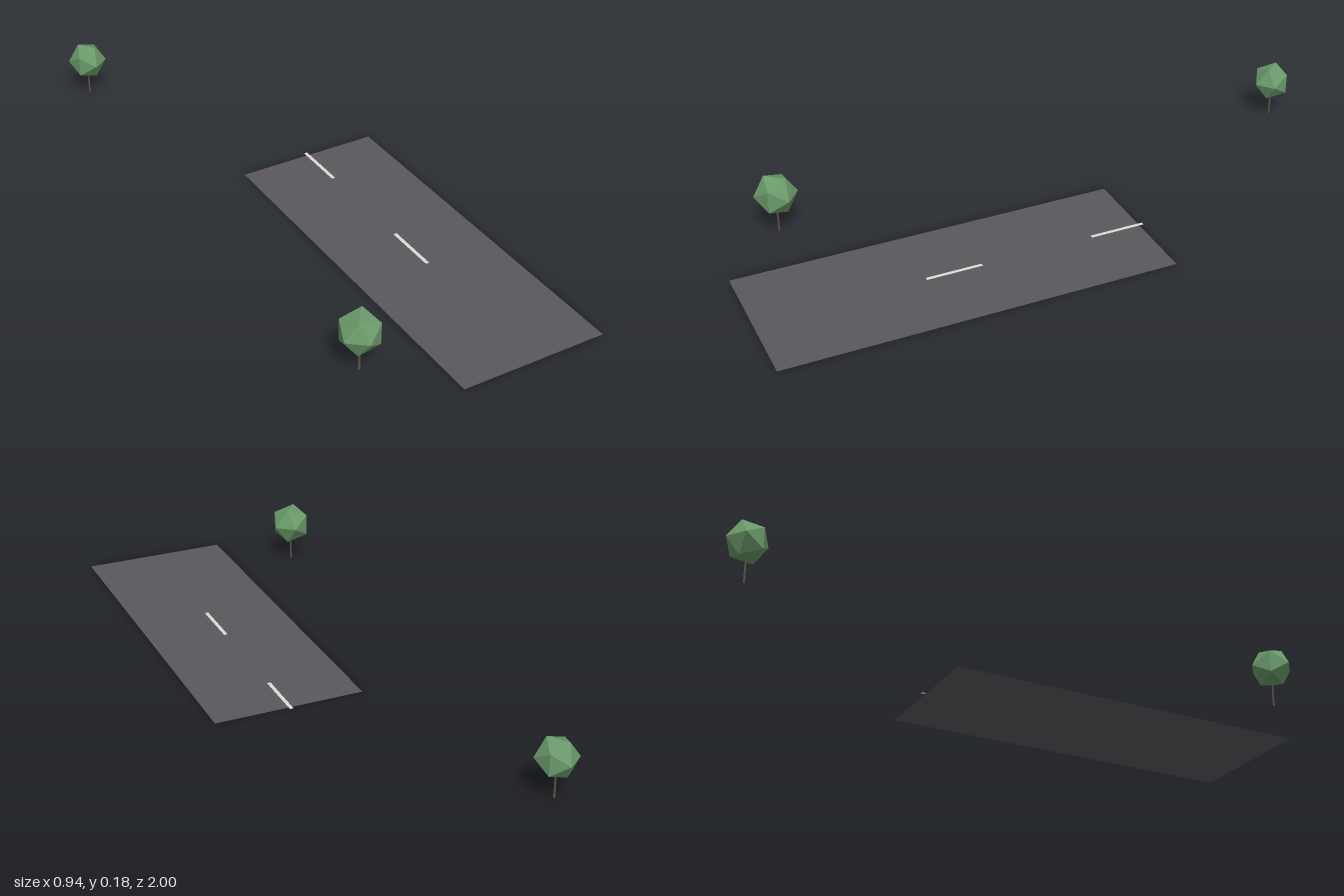
import * as THREE from 'three';

const material = (color, options = {}) => new THREE.MeshStandardMaterial({ color, ...options });

// Flat rectangle lying on the ground, long side along z
function groundStrip(name, width, length, y, z, mat) {
  const strip = new THREE.Mesh(new THREE.PlaneGeometry(width, length).rotateX(-Math.PI / 2), mat);
  strip.name = name;
  strip.position.set(0, y, z);
  return strip;
}

// Low-poly tree: thin tapered trunk under a faceted ball of leaves
function createTree(name, { x, z, crownY, radius, turn }, leafMat, barkMat) {
  const tree = new THREE.Group();
  tree.name = name;

  const trunkGeo = new THREE.CylinderGeometry(radius * 0.035, radius * 0.055, crownY, 5);
  const trunk = new THREE.Mesh(trunkGeo.translate(0, crownY / 2, 0), barkMat);
  trunk.name = 'trunk';

  const crown = new THREE.Mesh(new THREE.IcosahedronGeometry(radius, 0), leafMat);
  crown.name = 'crown';
  crown.position.y = crownY;

  tree.add(trunk, crown);
  tree.position.set(x, 0, z);
  tree.rotation.y = turn;
  return tree;
}

export function createModel() {
  const model = new THREE.Group();
  model.name = 'roadWithTrees';

  const asphalt = material(0x5a585d, { side: THREE.DoubleSide });
  const paint = material(0xdcdcd4, { side: THREE.DoubleSide });
  const leaves = material(0x6a9a6a, { flatShading: true });
  const bark = material(0x5e5046, { flatShading: true });

  // Road section with centre dashes; the rear dash just overhangs the end
  const road = new THREE.Group();
  road.name = 'road';
  road.position.set(0.09, 0, 0.387);
  road.rotation.y = -0.3;
  road.add(groundStrip('roadSurface', 0.44, 1.14, 0, 0, asphalt));
  for (const z of [0, -0.5]) road.add(groundStrip('laneDash', 0.011, 0.165, 0.002, z, paint));
  model.add(road);

  // Roadside trees
  model.add(
    createTree('frontTree', { x: -0.408, z: 0.622, crownY: 0.122, radius: 0.0635, turn: 0.59 }, leaves, bark),
    createTree('backTree', { x: 0.065, z: -0.943, crownY: 0.117, radius: 0.059, turn: -1.22 }, leaves, bark),
  );
  return model;
}
